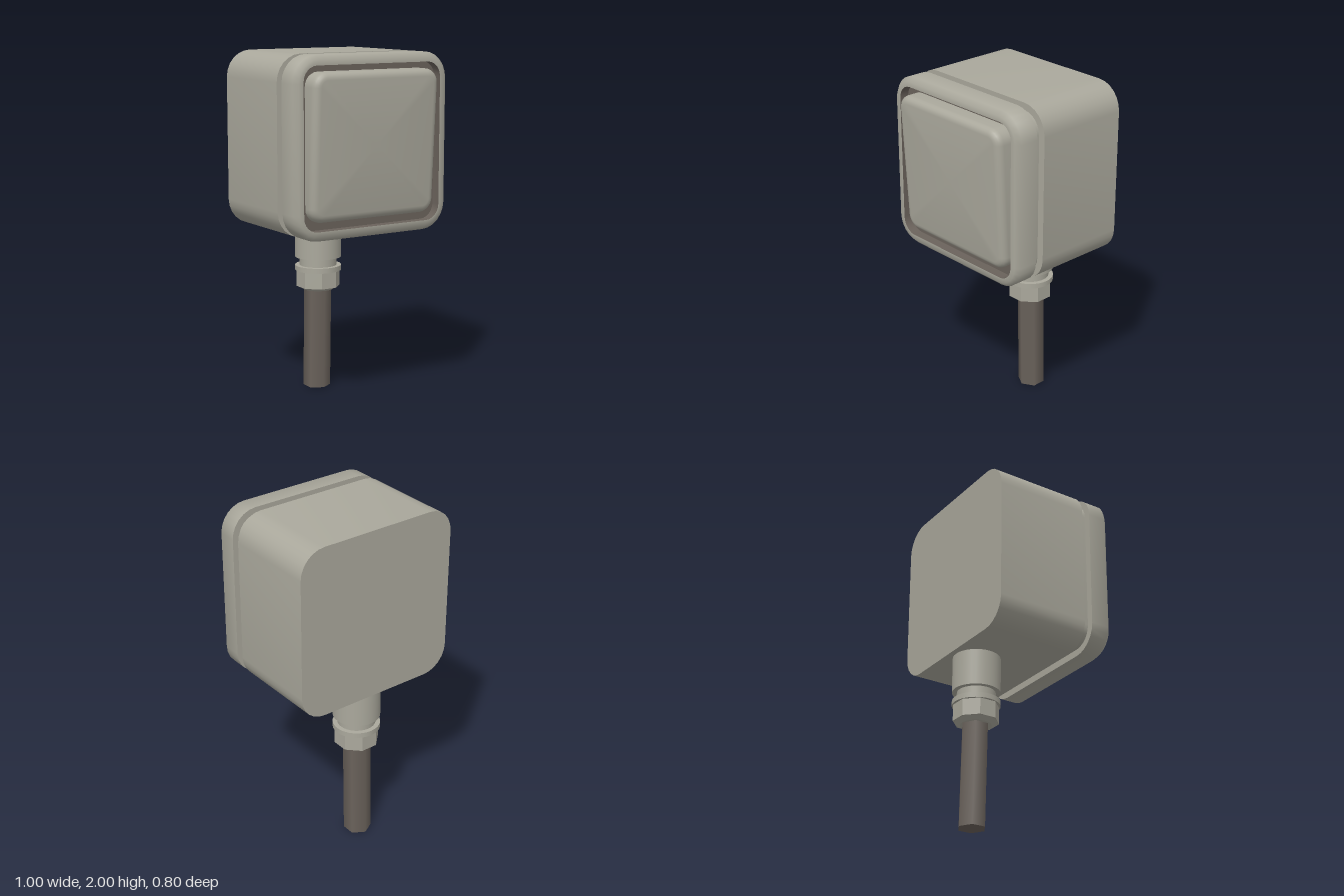
import * as THREE from 'three';
import { toCreasedNormals } from 'three/addons/utils/BufferGeometryUtils.js';

const CY = 1.5;      // height of the housing centre
const GLAND_Z = -0.232;

// Rounded-square outline, counter-clockwise seen from +z
function ring([half, r, z], seg = 6) {
  const pts = [];
  for (let c = 0; c < 4; c++) {
    const mid = Math.PI / 4 + c * Math.PI / 2;
    const cx = Math.sign(Math.cos(mid)) * (half - r);
    const cy = Math.sign(Math.sin(mid)) * (half - r);
    for (let i = 0; i <= seg; i++) {
      const a = (c + i / seg) * Math.PI / 2;
      pts.push([cx + r * Math.cos(a), cy + r * Math.sin(a), z]);
    }
  }
  return pts;
}

// Skin between [half size, corner radius, z] sections; half size 0 closes an end
function loft(sections, crease = 0.9) {
  const rings = sections.map((s) => ring(s));
  const pos = [];
  for (let j = 0; j < rings.length - 1; j++) {
    const A = rings[j], B = rings[j + 1], n = A.length;
    for (let i = 0; i < n; i++) {
      const k = (i + 1) % n;
      if (sections[j][0] > 0) pos.push(...A[i], ...A[k], ...B[k]);
      if (sections[j + 1][0] > 0) pos.push(...A[i], ...B[k], ...B[i]);
    }
  }
  const g = new THREE.BufferGeometry();
  g.setAttribute('position', new THREE.Float32BufferAttribute(pos, 3));
  return toCreasedNormals(g, crease);
}

export function createModel() {
  const model = new THREE.Group();
  model.name = 'rockerSwitch';
  const grey = new THREE.MeshStandardMaterial({ color: 0xaaa89c });
  grey.name = 'warm grey';
  const dark = new THREE.MeshStandardMaterial({ color: 0x6a625b });
  dark.name = 'dark brown grey';

  const add = (name, geo, mat, x = 0, y = 0, z = 0) => {
    const m = new THREE.Mesh(geo, mat);
    m.name = name;
    m.position.set(x, y, z);
    model.add(m);
    return m;
  };

  // Housing, seam and front frame
  add('housing', loft([
    [0, 0, -0.4], [0.5, 0.15, -0.4], [0.5, 0.15, 0.16], [0.46, 0.11, 0.16],
  ]), grey, 0, CY);
  add('seam', loft([[0.46, 0.11, 0.16], [0.46, 0.11, 0.21]]), grey, 0, CY);
  add('frontFrame', loft([
    [0.46, 0.11, 0.21], [0.5, 0.15, 0.21], [0.5, 0.15, 0.32],
    [0.475, 0.125, 0.345], [0.445, 0.085, 0.345],
  ]), grey, 0, CY);

  // Dark recess around the rocker
  add('recess', loft([
    [0.445, 0.085, 0.345], [0.445, 0.085, 0.29], [0, 0, 0.29],
  ]), dark, 0, CY);

  // Rocker with rounded rim, leaning forward at the top
  const rim = [[0.405, 0.08, 0.27]];
  for (let i = 0; i <= 5; i++) {
    const a = i / 5 * Math.PI / 2;
    const inset = 0.042 * (1 - Math.cos(a));
    rim.push([0.405 - inset, 0.08 - inset, 0.336 + 0.042 * Math.sin(a)]);
  }
  rim.push([0, 0, 0.378]);
  const rocker = loft(rim);
  rocker.applyMatrix4(new THREE.Matrix4().set(
    1, 0, 0, 0,
    0, 1, 0, 0,
    0, 0.055, 1, 0,
    0, 0, 0, 1));
  add('rocker', rocker, grey, 0, CY + 0.005);

  // Cable gland: [name, top radius, bottom radius, bottom y, top y]
  for (const [name, rt, rb, y0, y1] of [
    ['glandSocket', 0.136, 0.136, 0.79, 1.0],
    ['glandNeck', 0.109, 0.109, 0.74, 0.79],
    ['glandFlange', 0.136, 0.136, 0.71, 0.74],
    ['glandTip', 0.119, 0.088, 0.595, 0.615],
  ]) {
    add(name, new THREE.CylinderGeometry(rt, rb, y1 - y0, 32), grey, 0, (y0 + y1) / 2, GLAND_Z);
  }

  // Eight-sided nut with flats facing front and sides
  const nut = new THREE.CylinderGeometry(0.13, 0.13, 0.097, 8).rotateY(Math.PI / 8);
  add('glandNut', toCreasedNormals(nut, 0.3), grey, 0, 0.6625, GLAND_Z);

  // Six-sided cable drifting slightly backwards as it drops
  const cable = new THREE.CylinderGeometry(0.08, 0.08, 0.62, 6);
  const p = cable.attributes.position;
  for (let i = 0; i < p.count; i++) p.setZ(i, p.getZ(i) + 0.022 * p.getY(i));
  add('cable', cable, dark, 0, 0.31, -0.244);

  return model;
}
